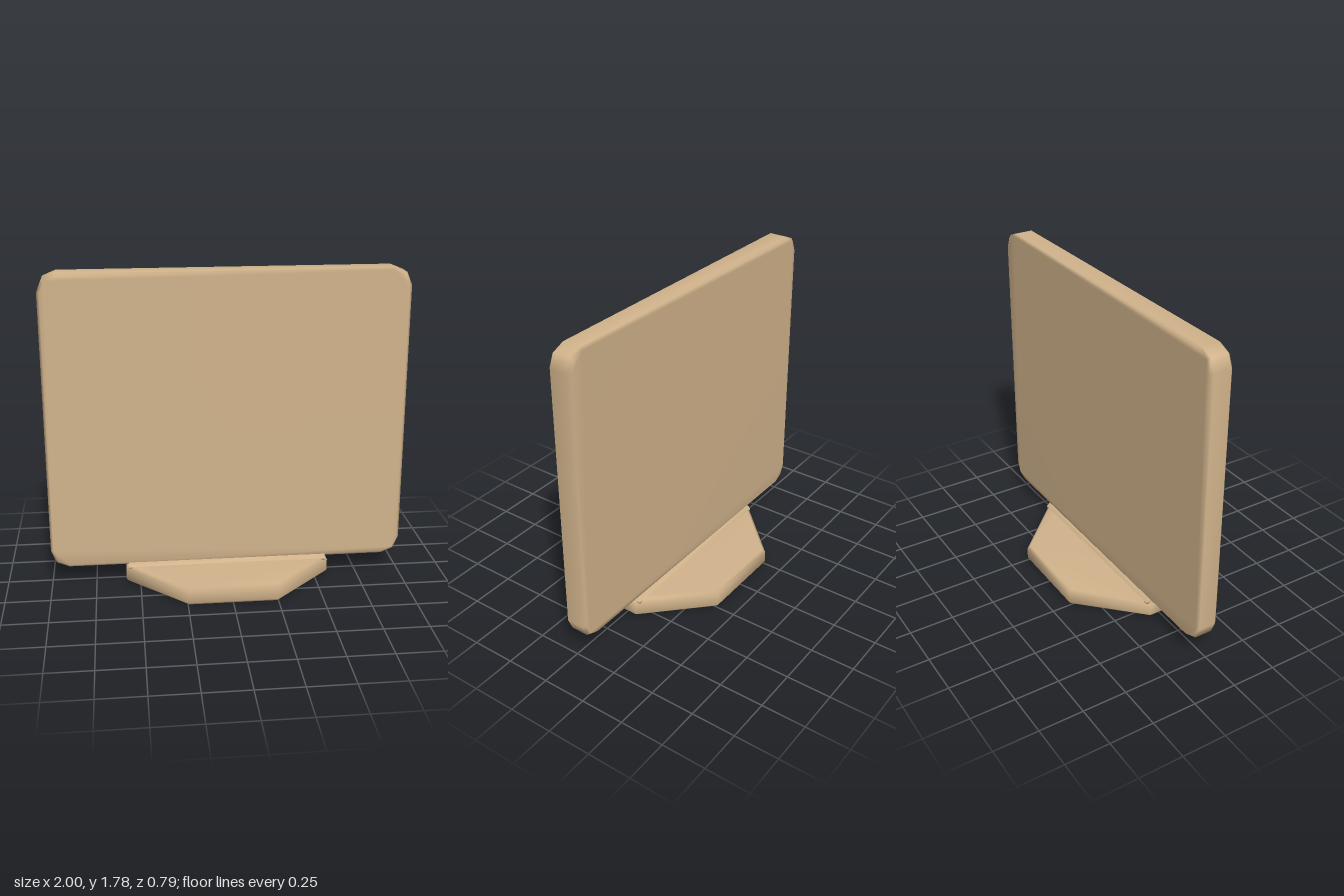
import * as THREE from 'three';
import { mergeVertices } from 'three/addons/utils/BufferGeometryUtils.js';

const material = new THREE.MeshStandardMaterial({ color: 0xd2b48c });

// Extrudes an outline to a centred slab with chamfered rims; area-weighted
// shared normals keep the large faces flat and soften the edges.
function slab(name, points, depth, bevel) {
  const geometry = new THREE.ExtrudeGeometry(
    new THREE.Shape(points.map(([x, y]) => new THREE.Vector2(x, y))),
    {
      depth: depth - 2 * bevel,
      bevelEnabled: bevel > 0,
      bevelSize: bevel,
      bevelThickness: bevel,
      bevelOffset: -bevel,
      bevelSegments: 1,
    }
  );
  geometry.translate(0, 0, bevel - depth / 2);
  geometry.deleteAttribute('normal');
  geometry.deleteAttribute('uv');
  const smooth = mergeVertices(geometry, 1e-4);
  smooth.computeVertexNormals();
  const mesh = new THREE.Mesh(smooth, material);
  mesh.name = name;
  return mesh;
}

// Rectangle whose corners are rounded in two straight steps
function roundedOutline(halfWidth, halfHeight, radius) {
  const points = [];
  const signs = [[1, 1], [-1, 1], [-1, -1], [1, -1]];
  signs.forEach(([sx, sy], corner) => {
    for (let i = 0; i <= 2; i++) {
      const a = (corner + i / 2) * Math.PI / 2;
      points.push([
        sx * (halfWidth - radius) + radius * Math.cos(a),
        sy * (halfHeight - radius) + radius * Math.sin(a),
      ]);
    }
  });
  return points;
}

export function createModel() {
  const group = new THREE.Group();
  group.name = 'standingPanel';

  // Upright panel
  const panel = slab('panel', roundedOutline(1, 0.8375, 0.1), 0.13, 0.015);
  panel.position.y = 0.9425;
  group.add(panel);

  // Eight-sided foot lying flat
  const foot = slab('foot', [
    [0.58, -0.065], [0.58, 0.065], [0.25, 0.393], [-0.25, 0.393],
    [-0.58, 0.065], [-0.58, -0.065], [-0.25, -0.393], [0.25, -0.393],
  ], 0.1, 0.017);
  foot.rotation.x = -Math.PI / 2;
  foot.position.y = 0.05;
  group.add(foot);

  // Low sloped collar joining panel and foot
  const collar = slab('collar', [
    [-0.085, 0.09], [0.085, 0.09], [0.085, 0.1], [0.06, 0.122], [-0.06, 0.122], [-0.085, 0.1],
  ], 1.13, 0);
  collar.rotation.y = Math.PI / 2;
  group.add(collar);

  return group;
}
